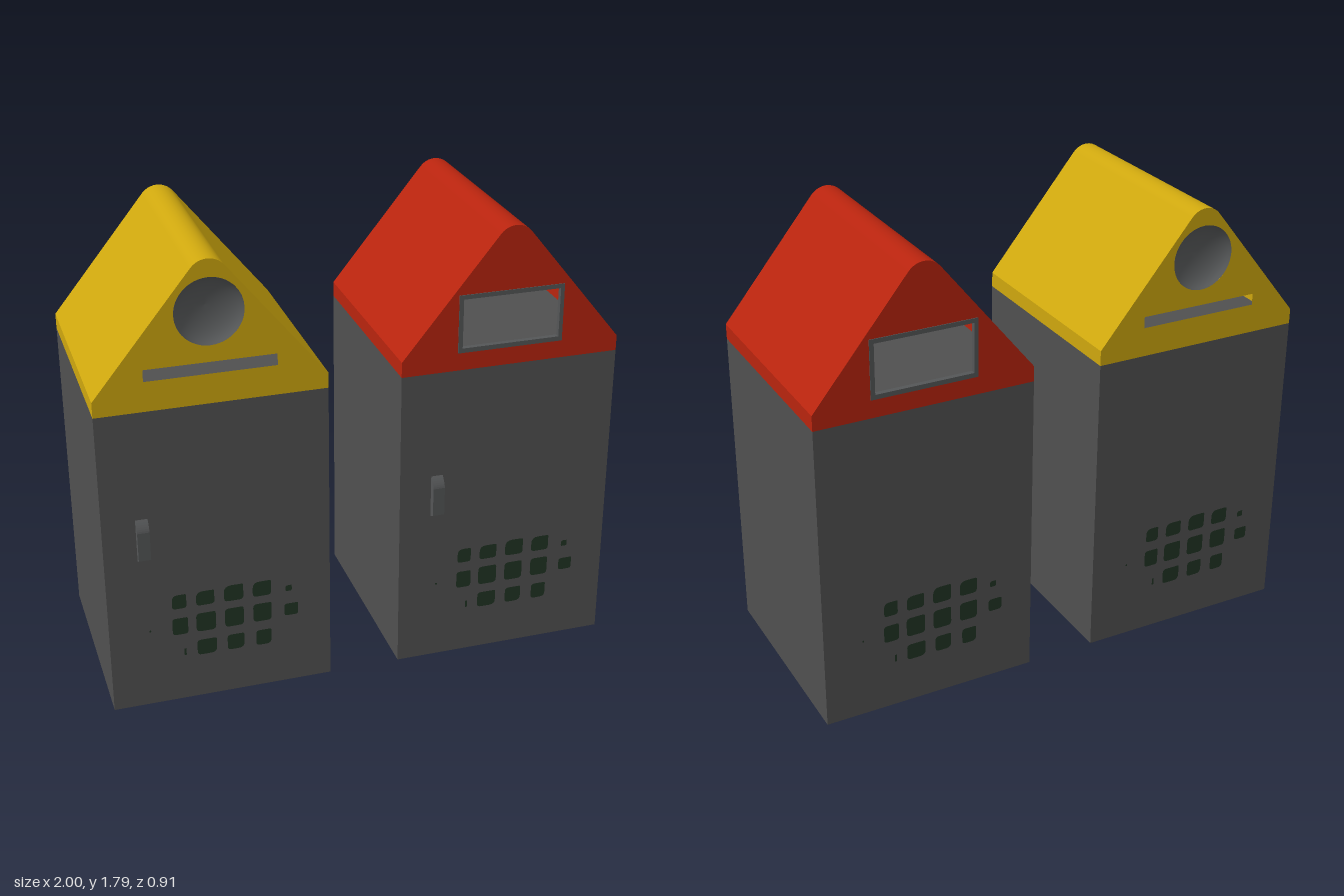
import * as THREE from 'three';

const W = 0.43, D = 0.43;            // half width and half depth of a bin
const BODY_H = 1.235, EAVE = 1.295, TOP = 1.78;

const mat = (name, color, side = THREE.FrontSide) => {
  const m = new THREE.MeshStandardMaterial({ color, side });
  m.name = name;
  return m;
};

function add(parent, name, geometry, material, x = 0, y = 0, z = 0) {
  const m = new THREE.Mesh(geometry, material);
  m.name = name;
  m.position.set(x, y, z);
  parent.add(m);
  return m;
}

// Rounded ridge, from right to left
function ridgePoints() {
  const a = 0.89, r = 0.077, n = 10, pts = [];
  for (let i = 0; i <= n; i++) {
    const t = a - (2 * a * i) / n;
    pts.push(new THREE.Vector2(r * Math.sin(t), TOP - r + r * Math.cos(t)));
  }
  return pts;
}

function rectPath(x0, y0, x1, y1, Type = THREE.Path) {
  return new Type([[x0, y0], [x1, y0], [x1, y1], [x0, y1]].map(p => new THREE.Vector2(...p)));
}

// Roof sheet: a plane folded over the profile, doubled points keep the eaves sharp
function roofGeometry() {
  const v = (x, y) => new THREE.Vector2(x, y);
  const profile = [v(-W, BODY_H), v(-W, EAVE), v(-W, EAVE), ...ridgePoints().reverse(),
    v(W, EAVE), v(W, EAVE), v(W, BODY_H)];
  const n = profile.length;
  const g = new THREE.PlaneGeometry(1, 1, n - 1, 1);
  const pos = g.attributes.position;
  for (let i = 0; i < pos.count; i++) {
    const p = profile[i % n];
    pos.setXYZ(i, p.x, p.y, i < n ? -D : D);
  }
  g.computeVertexNormals();
  return g;
}

// Gable end with its openings
function gableGeometry(holes) {
  const s = new THREE.Shape([
    new THREE.Vector2(-W, BODY_H), new THREE.Vector2(W, BODY_H), new THREE.Vector2(W, EAVE),
    ...ridgePoints(), new THREE.Vector2(-W, EAVE)]);
  s.holes.push(...holes);
  return new THREE.ShapeGeometry(s, 24);
}

// Irregular rounded vent, with one corner cut deeper
function ventGeometry(w, h, row) {
  const s = new THREE.Shape(), a = w / 2, b = h / 2;
  const c = Math.min(a, b) * 0.45, k = Math.min(a, b) * 0.85;
  const tl = row === 0 ? k : c, br = row === 2 ? k * 0.8 : c;
  s.moveTo(-a + c, -b);
  s.lineTo(a - br, -b);
  s.quadraticCurveTo(a, -b, a, -b + br);
  s.lineTo(a, b - c * 0.5);
  s.quadraticCurveTo(a, b, a - c * 0.5, b);
  s.lineTo(-a + tl, b);
  s.quadraticCurveTo(-a, b, -a, b - tl);
  s.lineTo(-a, -b + c);
  s.quadraticCurveTo(-a, -b, -a + c, -b);
  return new THREE.ShapeGeometry(s, 4);
}

// x, y, width, height, row
const VENTS = [
  [-0.16, 0.435, 0.055, 0.06, 0], [-0.06, 0.435, 0.07, 0.06, 0], [0.05, 0.437, 0.075, 0.068, 0],
  [0.16, 0.435, 0.072, 0.064, 0], [0.265, 0.418, 0.025, 0.025, 0],
  [-0.275, 0.326, 0.007, 0.008, 1], [-0.16, 0.327, 0.06, 0.072, 1], [-0.06, 0.33, 0.076, 0.08, 1],
  [0.05, 0.33, 0.074, 0.08, 1], [0.16, 0.33, 0.072, 0.078, 1], [0.274, 0.323, 0.055, 0.052, 1],
  [-0.145, 0.21, 0.008, 0.03, 2], [-0.06, 0.219, 0.076, 0.066, 2], [0.053, 0.219, 0.066, 0.066, 2],
  [0.163, 0.217, 0.06, 0.066, 2],
];

// Door handle: side profile extruded across its width
function handleGeometry() {
  const s = new THREE.Shape();
  s.moveTo(0, 0.635);
  s.lineTo(0.028, 0.65);
  s.lineTo(0.028, 0.765);
  s.quadraticCurveTo(0.024, 0.785, 0, 0.807);
  const g = new THREE.ExtrudeGeometry(s, { depth: 0.046, bevelEnabled: false, curveSegments: 6 });
  g.translate(0, 0, -0.023);
  g.rotateY(-Math.PI / 2);
  return g;
}

// Concave dish closing the round opening
function dishGeometry(r, depth) {
  const pts = [];
  for (let i = 0; i <= 8; i++) {
    const t = (i / 8) * Math.PI / 2;
    pts.push(new THREE.Vector2(r * Math.sin(t), -depth * Math.cos(t)));
  }
  return new THREE.LatheGeometry(pts, 32).rotateX(Math.PI / 2);
}

export function createModel() {
  const grey = mat('body grey', 0x505050);
  const metal = mat('fitting grey', 0x545657, THREE.DoubleSide);
  const green = mat('vent dark green', 0x203424);
  const yellow = mat('hood yellow', 0xcea70e, THREE.DoubleSide);
  const red = mat('hood red', 0xb8240e, THREE.DoubleSide);

  const pair = new THREE.Group();
  pair.name = 'binPair';
  pair.rotation.x = -0.0175;         // slight backward lean
  pair.position.set(0, 0.0075, 0.012);

  function bin(name, x, hoodMat, round) {
    const g = new THREE.Group();
    g.name = name;
    g.position.x = x;
    pair.add(g);

    add(g, 'body', new THREE.BoxGeometry(2 * W, BODY_H, 2 * D), grey, 0, BODY_H / 2, 0);
    add(g, 'handle', handleGeometry(), metal, -0.282, 0, D);
    add(g, 'roof', roofGeometry(), hoodMat);

    // Openings of the gable
    const holes = [];
    if (round) {
      holes.push(new THREE.Path().absarc(0, 1.585, 0.127, 0, Math.PI * 2, true));
      holes.push(rectPath(-0.245, 1.35, 0.242, 1.395));
    } else {
      holes.push(rectPath(-0.212, 1.305, 0.202, 1.533));
    }

    // Both ends match, the back one turned round
    for (const [end, turn] of [['front', 0], ['back', Math.PI]]) {
      const e = new THREE.Group();
      e.name = end + 'End';
      e.rotation.y = turn;
      g.add(e);
      add(e, 'gable', gableGeometry(holes), hoodMat, 0, 0, D);
      if (round) {
        add(e, 'dish', dishGeometry(0.127, 0.07), metal, 0, 1.585, D);
      } else {
        const f = rectPath(-0.212, 1.305, 0.202, 1.533, THREE.Shape);
        f.holes.push(rectPath(-0.195, 1.323, 0.187, 1.516));
        add(e, 'openingFrame', new THREE.ExtrudeGeometry(f, { depth: 0.02, bevelEnabled: false }),
          metal, 0, 0, D - 0.017);
      }
      for (const [vx, vy, w, h, row] of VENTS)
        add(e, 'vent', ventGeometry(w, h, row), green, vx, vy, D + 0.002);
    }
  }

  bin('yellowBin', -0.57, yellow, true);
  bin('redBin', 0.57, red, false);

  const model = new THREE.Group();
  model.name = 'recyclingBins';
  model.add(pair);
  return model;
}
